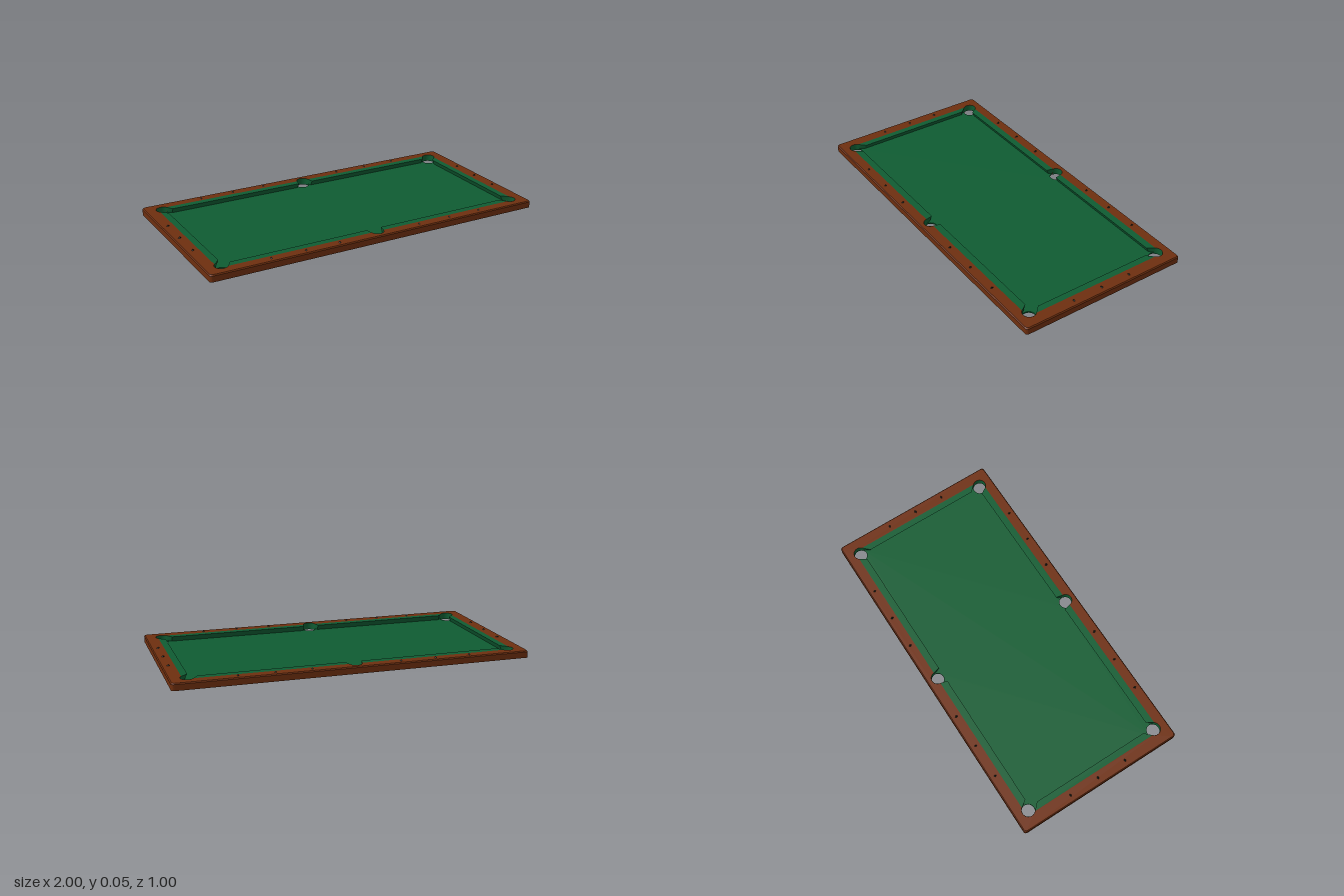
import * as THREE from 'three';
import { toCreasedNormals } from 'three/addons/utils/BufferGeometryUtils.js';

const IX = 0.93, IZ = 0.44;      // inner edge of the wooden rails
const TOP = 0.04, BED = 0.01;    // rail height and cloth height
const mat = (name, color, extra = {}) =>
  Object.assign(new THREE.MeshStandardMaterial({ color, ...extra }), { name });

// Points on an arc around a pocket centre
function arc(cx, cy, r, a0, a1, n = 20) {
  return Array.from({ length: n + 1 }, (_, i) => {
    const a = a0 + (a1 - a0) * i / n;
    return new THREE.Vector2(cx + r * Math.cos(a), cy + r * Math.sin(a));
  });
}

// The six pocket arcs, in order round the table; outer = side in the rails
function pocketArcs(outer) {
  const cx = 0.905, cy = 0.417, r = 0.037, sy = 0.437, sr = 0.036;
  const turn = outer ? 0 : 2 * Math.PI;
  const c0 = -Math.acos((IX - cx) / r);
  const c1 = Math.PI - Math.asin((IZ - cy) / r);
  const s0 = Math.asin((IZ - sy) / sr);
  const corner = arc(cx, cy, r, c0, c1 - turn);
  const side = arc(0, sy, sr, s0, Math.PI - s0 - turn);
  const mirrored = corner.map(p => new THREE.Vector2(-p.x, p.y)).reverse();
  const half = [corner, side, mirrored];
  return [...half, ...half.map(l => l.map(p => new THREE.Vector2(-p.x, -p.y)))];
}

// Flat shape in plan, raised from y0 to y1
function slab(shape, y0, y1, steps = 1) {
  const g = new THREE.ExtrudeGeometry(shape, { depth: y1 - y0, steps, bevelEnabled: false, curveSegments: 8 });
  g.rotateX(-Math.PI / 2);
  g.translate(0, y0, 0);
  return g;
}

// Rail frame: rounded outline, pocketed opening, chamfered outer top edge
function frameGeometry() {
  const r = 0.018, s = new THREE.Shape();
  s.moveTo(-1 + r, -0.5);
  s.lineTo(1 - r, -0.5);
  s.quadraticCurveTo(1, -0.5, 1, -0.5 + r);
  s.lineTo(1, 0.5 - r);
  s.quadraticCurveTo(1, 0.5, 1 - r, 0.5);
  s.lineTo(-1 + r, 0.5);
  s.quadraticCurveTo(-1, 0.5, -1, 0.5 - r);
  s.lineTo(-1, -0.5 + r);
  s.quadraticCurveTo(-1, -0.5, -1 + r, -0.5);
  s.holes.push(new THREE.Path(pocketArcs(true).flat()));
  const g = slab(s, 0, TOP, 2), p = g.attributes.position;
  for (let i = 0; i < p.count; i++) {
    const x = p.getX(i), y = p.getY(i), z = p.getZ(i);
    if (Math.abs(y - TOP / 2) < 0.001) p.setY(i, 0.034);
    const outside = Math.abs(x) > 0.97 || Math.abs(z) > 0.478;
    if (y > TOP - 0.001 && outside) p.setXYZ(i, x * 0.995, y, z * 0.99);
  }
  g.computeVertexNormals();
  return toCreasedNormals(g, 0.5);
}

// Upright strip following a list of plan points
function ribbon(points, y0, y1) {
  const pos = [], index = [];
  points.forEach((p, i) => {
    pos.push(p.x, y0, -p.y, p.x, y1, -p.y);
    if (i) {
      const a = 2 * i - 2;
      index.push(a, a + 1, a + 2, a + 2, a + 1, a + 3);
    }
  });
  const g = new THREE.BufferGeometry();
  g.setAttribute('position', new THREE.Float32BufferAttribute(pos, 3));
  g.setIndex(index);
  g.computeVertexNormals();
  return g;
}

// Cushion with flared ends and an undercut nose; the rail lies at z = 0
function cushionGeometry(rail0, rail1, nose0, nose1, width) {
  const g = new THREE.BoxGeometry(1, 1, 1), p = g.attributes.position;
  for (let i = 0; i < p.count; i++) {
    const end = p.getX(i) > 0, top = p.getY(i) > 0, nose = p.getZ(i) > 0;
    const x = nose ? (end ? nose1 : nose0) : (end ? rail1 : rail0);
    p.setXYZ(i, x, top ? TOP : BED, nose ? (top ? width : width - 0.015) : 0);
  }
  g.computeVertexNormals();
  return g;
}

export function createModel() {
  const table = new THREE.Group();
  table.name = 'poolTableTop';
  const wood = mat('wood', 0x6e2f0f);
  const cloth = mat('cloth', 0x0f5c32);
  const lining = mat('pocketLining', 0x0f5c32, { side: THREE.DoubleSide });
  const dark = mat('sightInlay', 0x15201a);

  const add = (name, geometry, material) => {
    const m = new THREE.Mesh(geometry, material);
    m.name = name;
    table.add(m);
    return m;
  };

  add('railFrame', frameGeometry(), wood);
  add('bed', slab(new THREE.Shape(pocketArcs(false).flat()), 0.002, BED), cloth);

  // Pocket walls, just inside the cut-outs in the rails
  for (const points of pocketArcs(true)) {
    const mid = points[0].clone().add(points[points.length - 1]).multiplyScalar(0.5);
    const inner = points.map(p => p.clone().lerp(mid, 0.015));
    add('pocketLiner', ribbon(inner, 0.0005, TOP), lining);
  }

  // Cushions: two on each long rail, one on each end rail
  for (const s of [-1, 1]) {
    for (const h of [-1, 1]) {
      const [a, b, c, d] = h > 0 ? [0.036, 0.876, 0.045, 0.85] : [-0.876, -0.036, -0.85, -0.045];
      const m = add('longCushion', cushionGeometry(a, b, c, d, 0.04), cloth);
      m.position.z = s * IZ;
      m.rotation.y = s > 0 ? Math.PI : 0;
    }
    const e = add('endCushion', cushionGeometry(-0.39, 0.39, -0.353, 0.353, 0.037), cloth);
    e.position.x = s * IX;
    e.rotation.y = -s * Math.PI / 2;
  }

  // Small pointed sights along the rails
  const sight = (x, z, sx, sz) => {
    const m = add('railSight', new THREE.OctahedronGeometry(1), dark);
    m.scale.set(sx, 0.009, sz);
    m.position.set(x, 0.038, z);
  };
  for (const s of [-1, 1]) {
    for (const x of [-0.65, -0.45, -0.25, 0.25, 0.45, 0.65]) sight(x, s * 0.467, 0.008, 0.012);
    for (const z of [-0.18, 0, 0.18]) sight(s * 0.963, z, 0.013, 0.008);
  }
  return table;
}
